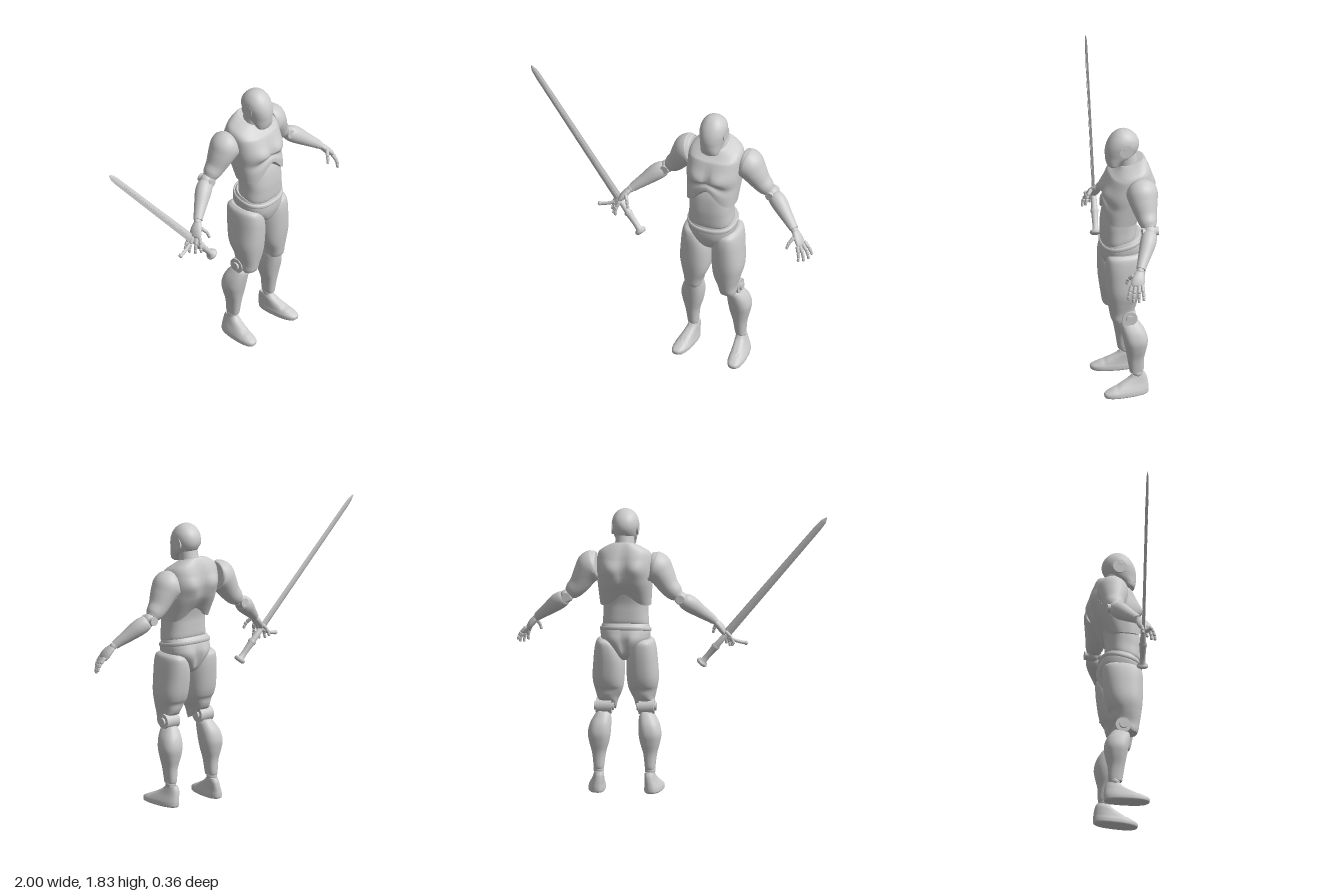
import * as THREE from 'three';

const grey = new THREE.MeshStandardMaterial({ color: 0xcccccc });
grey.name = 'plain grey';
const V = (x, y, z) => new THREE.Vector3(x, y, z);
const bump = (a, b, ca, cb, sa, sb) => Math.exp(-(((a - ca) / sa) ** 2) - ((b - cb) / sb) ** 2);

// Smoothly interpolate rows of numbers, k steps per span
function smooth(rows, k) {
  const out = [], at = i => rows[Math.max(0, Math.min(rows.length - 1, i))];
  for (let i = 0; i < rows.length - 1; i++)
    for (let s = 0; s < k; s++) {
      const t = s / k;
      out.push(rows[i].map((b, c) => {
        const a = at(i - 1)[c], d = at(i + 1)[c], e = at(i + 2)[c];
        return b + 0.5 * t * (d - a + t * (2 * a - 5 * b + 4 * d - e + t * (3 * (b - d) + e - a)));
      }));
    }
  out.push(rows[rows.length - 1]);
  return out;
}

// Skin rings of points into a capped solid
function skin(rings, flat) {
  const n = rings[0].length, m = rings.length, pos = [], idx = [];
  rings.forEach(r => r.forEach(p => pos.push(p.x, p.y, p.z)));
  for (let i = 0; i < m - 1; i++)
    for (let j = 0; j < n; j++) {
      const a = i * n + j, b = i * n + (j + 1) % n;
      idx.push(a, a + n, b, b, a + n, b + n);
    }
  [[rings[0], false], [rings[m - 1], true]].forEach(([r, top]) => {
    const base = pos.length / 3, c = V(0, 0, 0);
    r.forEach(p => { pos.push(p.x, p.y, p.z); c.addScaledVector(p, 1 / n); });
    pos.push(c.x, c.y, c.z);
    for (let j = 0; j < n; j++) {
      const a = base + j, b = base + (j + 1) % n;
      idx.push(base + n, ...(top ? [b, a] : [a, b]));
    }
  });
  let g = new THREE.BufferGeometry();
  g.setAttribute('position', new THREE.Float32BufferAttribute(pos, 3));
  g.setIndex(idx);
  if (flat) g = g.toNonIndexed();
  g.computeVertexNormals();
  return g;
}

// Upright body part; rows are [y, xMin, xMax, zMin, zMax], warp reshapes each point
function upright(rows, warp, power = 2.4, n = 48, k = 6) {
  const se = v => Math.sign(v) * Math.abs(v) ** (2 / power);
  return skin(smooth(rows, k).map(([y, x0, x1, z0, z1]) => Array.from({ length: n }, (_, j) => {
    const a = j / n * Math.PI * 2;
    const p = V((x0 + x1) / 2 + se(Math.cos(a)) * (x1 - x0) / 2, y, (z0 + z1) / 2 + se(Math.sin(a)) * (z1 - z0) / 2);
    if (warp) warp(p);
    return p;
  })));
}
const sym = rows => rows.map(([y, h, z0, z1]) => [y, -h, h, z0, z1]);

// Limb along a path; rows are [x, y, z, radius in the front plane, radius in depth]
function limb(rows, n = 24, k = 6) {
  const s = smooth(rows, k), c = s.map(r => V(r[0], r[1], r[2]));
  return skin(s.map((r, i) => {
    const t = c[Math.min(i + 1, c.length - 1)].clone().sub(c[Math.max(i - 1, 0)]).normalize();
    const u = V(0, 0, 1).cross(t).normalize(), v = u.clone().cross(t);
    return Array.from({ length: n }, (_, j) => {
      const a = j / n * Math.PI * 2;
      return c[i].clone().addScaledVector(u, Math.cos(a) * r[3]).addScaledVector(v, Math.sin(a) * r[4]);
    });
  }));
}

// Short rounded finger segment
function bone(a, b, r) {
  const row = (t, f) => [...a.clone().lerp(b, t).toArray(), r * f, r * f];
  return limb([row(0, 0.5), row(0.1, 0.95), row(0.5, 0.9), row(0.88, 0.9), row(1, 0.4)], 10, 2);
}

function mirrored(geo) {
  const g = geo.clone().scale(-1, 1, 1), ix = g.index.array;
  for (let i = 0; i < ix.length; i += 3) [ix[i], ix[i + 1]] = [ix[i + 1], ix[i]];
  g.computeVertexNormals();
  return g;
}
const ball = (x, y, z, r) => new THREE.SphereGeometry(r, 24, 16).translate(x, y, z);
const pin = (x, y, z, r, len) => new THREE.CylinderGeometry(r, r, len, 28).rotateZ(Math.PI / 2).translate(x, y, z);

export function createModel() {
  const model = new THREE.Group(), body = new THREE.Group();
  model.name = 'swordFigure';
  body.name = 'body';
  body.position.x = 0.302;
  model.add(body);
  const add = (name, geo, parent = body) => {
    const m = new THREE.Mesh(geo, grey);
    m.name = name;
    parent.add(m);
  };
  const pair = (name, geo) => {
    add(name + 'Left', geo);
    add(name + 'Right', mirrored(geo));
  };

  // Head, ear discs and neck
  add('head', upright(sym([
    [1.575, 0.04, 0.06, 0.108], [1.59, 0.058, 0.045, 0.122], [1.62, 0.066, 0.01, 0.13], [1.65, 0.074, -0.05, 0.133],
    [1.69, 0.082, -0.08, 0.133], [1.73, 0.086, -0.087, 0.124], [1.77, 0.079, -0.075, 0.104],
    [1.803, 0.058, -0.047, 0.075], [1.821, 0.032, -0.016, 0.046], [1.827, 0.004, 0.012, 0.02],
  ]), null, 2.15));
  pair('earDisc', pin(0.076, 1.705, 0.012, 0.044, 0.018));
  add('neck', upright(sym([
    [1.5, 0.075, -0.12, 0.05], [1.56, 0.068, -0.1, 0.05], [1.61, 0.062, -0.078, 0.052], [1.68, 0.06, -0.06, 0.055],
  ]), null, 2));
  add('collar', new THREE.TorusGeometry(0.066, 0.011, 12, 40).rotateX(Math.PI / 2 + 0.35).translate(0, 1.585, -0.018));

  // Chest shell with pectorals, shoulder blades, spine groove and arched lower rim
  add('chest', upright(sym([
    [1.2, 0.162, -0.075, 0.158], [1.25, 0.166, -0.1, 0.158], [1.34, 0.173, -0.143, 0.155], [1.4, 0.177, -0.16, 0.152],
    [1.46, 0.177, -0.17, 0.135], [1.52, 0.175, -0.16, 0.108], [1.56, 0.16, -0.145, 0.078],
    [1.59, 0.115, -0.128, 0.055], [1.607, 0.075, -0.115, 0.045],
  ]), p => {
    const ax = Math.abs(p.x);
    if (p.z > 0) p.z += 0.018 * bump(ax, p.y, 0.075, 1.41, 0.06, 0.045) - 0.012 * bump(p.x, p.y, 0, 1.4, 0.015, 0.07)
      - 0.014 * bump(ax, p.y, 0.08, 1.325, 0.09, 0.03);
    else p.z += 0.02 * bump(p.x, p.y, 0, 1.42, 0.03, 0.13) - 0.016 * bump(ax, p.y, 0.09, 1.46, 0.05, 0.06);
    const low = THREE.MathUtils.clamp((1.4 - p.y) / 0.2, 0, 1), high = THREE.MathUtils.clamp((p.y - 1.52) / 0.08, 0, 1);
    p.y += low * (p.z > 0 ? 0.13 : 0.08) * Math.exp(-((p.x / 0.09) ** 2)) - high * 0.3 * (p.z + 0.04);
  }, 2.6, 72));

  // Abdomen and pelvis
  add('abdomen', upright(sym([
    [1.06, 0.14, -0.05, 0.148], [1.08, 0.147, -0.06, 0.158], [1.14, 0.143, -0.062, 0.16], [1.2, 0.142, -0.065, 0.158],
    [1.28, 0.138, -0.085, 0.145], [1.34, 0.12, -0.1, 0.12],
  ]), p => { p.y -= (p.z - 0.05) * 0.22; }, 2.6));
  add('pelvis', upright(sym([
    [0.84, 0.024, -0.045, 0.06], [0.865, 0.05, -0.085, 0.1], [0.91, 0.09, -0.108, 0.14], [0.965, 0.145, -0.115, 0.158],
    [1.01, 0.158, -0.108, 0.163], [1.05, 0.157, -0.095, 0.16], [1.075, 0.15, -0.08, 0.152],
  ]), p => {
    if (p.z < 0) p.z += 0.025 * bump(p.x, p.y, 0, 0.93, 0.018, 0.06) - 0.008 * bump(Math.abs(p.x), p.y, 0.07, 0.95, 0.04, 0.05);
    p.y -= (p.z - 0.03) * 0.2;
  }));
  add('waistBand', upright(sym([
    [1.03, 0.157, -0.1, 0.162], [1.036, 0.163, -0.106, 0.168], [1.052, 0.163, -0.105, 0.168], [1.058, 0.157, -0.1, 0.162],
  ]), p => { p.y -= (p.z - 0.03) * 0.2; }, 2.4, 48, 2));

  // Legs
  pair('thigh', upright([
    [0.515, 0.065, 0.176, -0.01, 0.116], [0.535, 0.06, 0.18, -0.03, 0.124], [0.575, 0.05, 0.182, -0.042, 0.131],
    [0.645, 0.022, 0.197, -0.052, 0.142], [0.73, 0.009, 0.211, -0.082, 0.152], [0.84, 0.008, 0.205, -0.1, 0.157],
    [0.92, 0.025, 0.197, -0.106, 0.155], [0.97, 0.055, 0.185, -0.1, 0.14], [0.99, 0.085, 0.165, -0.07, 0.1],
  ], p => {
    const low = THREE.MathUtils.clamp((0.68 - p.y) / 0.16, 0, 1);
    p.y += low * 0.65 * Math.max(0, 0.08 - p.z);
  }));
  pair('kneeBall', pin(0.137, 0.545, 0.015, 0.05, 0.1));
  pair('kneePin', pin(0.137, 0.545, 0.015, 0.026, 0.126));
  pair('shin', upright([
    [0.15, 0.134, 0.196, -0.075, 0.01], [0.17, 0.13, 0.198, -0.08, 0.014], [0.25, 0.12, 0.208, -0.082, 0.026],
    [0.32, 0.1, 0.226, -0.097, 0.038], [0.38, 0.09, 0.235, -0.105, 0.05], [0.44, 0.088, 0.222, -0.092, 0.06],
    [0.49, 0.092, 0.195, -0.062, 0.064], [0.515, 0.105, 0.175, -0.04, 0.05],
  ]));
  pair('ankleBall', ball(0.165, 0.143, -0.038, 0.034));
  pair('foot', upright([
    [0, 0.132, 0.228, -0.1, 0.172], [0.008, 0.126, 0.236, -0.108, 0.183], [0.03, 0.126, 0.234, -0.11, 0.182],
    [0.05, 0.13, 0.226, -0.109, 0.145], [0.08, 0.133, 0.212, -0.106, 0.075], [0.11, 0.134, 0.202, -0.1, 0.02],
    [0.132, 0.138, 0.196, -0.09, -0.002],
  ], p => {
    p.x += p.z * 0.08;
    if (Math.abs(p.z - 0.098) < 0.012) p.y *= 0.94;
  }, 2.5));

  // Arms
  pair('upperArm', limb([
    [0.176, 1.472, -0.06, 0.08, 0.08], [0.186, 1.47, -0.06, 0.097, 0.096], [0.212, 1.458, -0.06, 0.1, 0.1],
    [0.245, 1.415, -0.062, 0.083, 0.09], [0.285, 1.35, -0.068, 0.066, 0.07], [0.325, 1.305, -0.072, 0.056, 0.056],
    [0.348, 1.283, -0.074, 0.04, 0.042],
  ], 36));
  pair('elbowBall', ball(0.366, 1.268, -0.075, 0.043));
  const rod = new THREE.CylinderGeometry(0.028, 0.028, 0.105, 24).rotateX(Math.PI / 2).translate(0.366, 1.268, -0.075);
  pair('elbowPin', rod);
  pair('forearm', limb([
    [0.372, 1.262, -0.074, 0.035, 0.035], [0.39, 1.25, -0.065, 0.05, 0.048], [0.43, 1.222, -0.045, 0.054, 0.052],
    [0.49, 1.172, -0.01, 0.042, 0.042], [0.54, 1.132, 0.02, 0.032, 0.033], [0.562, 1.113, 0.033, 0.028, 0.03],
  ], 28));
  pair('wristBall', ball(0.569, 1.106, 0.038, 0.024));
  pair('palm', limb([
    [0.569, 1.107, 0.038, 0.015, 0.02], [0.58, 1.095, 0.044, 0.02, 0.03], [0.605, 1.065, 0.058, 0.022, 0.042],
    [0.625, 1.035, 0.07, 0.017, 0.042], [0.63, 1.026, 0.073, 0.008, 0.034],
  ], 20));
  const fingers = {
    thumb: [V(0.585, 1.085, 0.085), V(0.563, 1.055, 0.112), V(0.556, 1.035, 0.12), V(0.55, 1.012, 0.124)],
    index: [V(0.617, 1.037, 0.104), V(0.632, 0.998, 0.122), V(0.636, 0.97, 0.129), V(0.634, 0.942, 0.132)],
    middle: [V(0.627, 1.032, 0.083), V(0.65, 0.99, 0.098), V(0.658, 0.96, 0.103), V(0.66, 0.932, 0.104)],
    ring: [V(0.635, 1.034, 0.06), V(0.665, 0.995, 0.068), V(0.677, 0.966, 0.071), V(0.682, 0.938, 0.072)],
    little: [V(0.638, 1.04, 0.04), V(0.671, 1.004, 0.042), V(0.685, 0.98, 0.043), V(0.693, 0.956, 0.043)],
  };
  for (const [name, pts] of Object.entries(fingers))
    for (let i = 0; i < 3; i++) pair(name + 'Segment' + (i + 1), bone(pts[i], pts[i + 1], 0.013 - i * 0.0015));

  // Sword, built upright from the pommel and then tilted into the right hand
  const sword = new THREE.Group();
  sword.name = 'sword';
  const blade = [[0.25, 0.028, 0.008], [1.2, 0.022, 0.006], [1.25, 0.018, 0.005], [1.285, 0.003, 0.001]];
  add('blade', skin(blade.map(([y, w, t]) => [V(w, y, 0), V(w * 0.3, y, t), V(-w * 0.3, y, t), V(-w, y, 0),
    V(-w * 0.3, y, -t), V(w * 0.3, y, -t)]), true), sword);
  for (const s of [-1, 1])
    add('bladeRidge', new THREE.BoxGeometry(0.006, 0.85, 0.003).translate(0, 0.68, s * 0.0075), sword);
  const hilt = [[0, -0.012], [0.03, -0.01], [0.038, 0], [0.034, 0.012], [0.02, 0.02], [0.018, 0.06], [0.022, 0.13],
    [0.026, 0.135], [0.026, 0.15], [0.02, 0.155], [0.018, 0.24], [0, 0.245]];
  add('grip', new THREE.LatheGeometry(hilt.map(p => new THREE.Vector2(...p)), 28), sword);
  const guard = new THREE.QuadraticBezierCurve3(V(-0.135, 0.285, 0), V(0, 0.205, 0), V(0.135, 0.285, 0));
  add('guard', new THREE.TubeGeometry(guard, 32, 0.011, 12), sword);
  for (const s of [-1, 1]) add('guardKnob', ball(s * 0.135, 0.285, 0, 0.014), sword);
  const up = V(-0.82, 0.985, -0.13).normalize(), across = V(0.1, 0.08, -0.024);
  across.addScaledVector(up, -across.dot(up)).normalize();
  sword.applyMatrix4(new THREE.Matrix4().makeBasis(across, up, across.clone().cross(up)).setPosition(-0.18, 0.825, 0.08));
  model.add(sword);
  return model;
}
